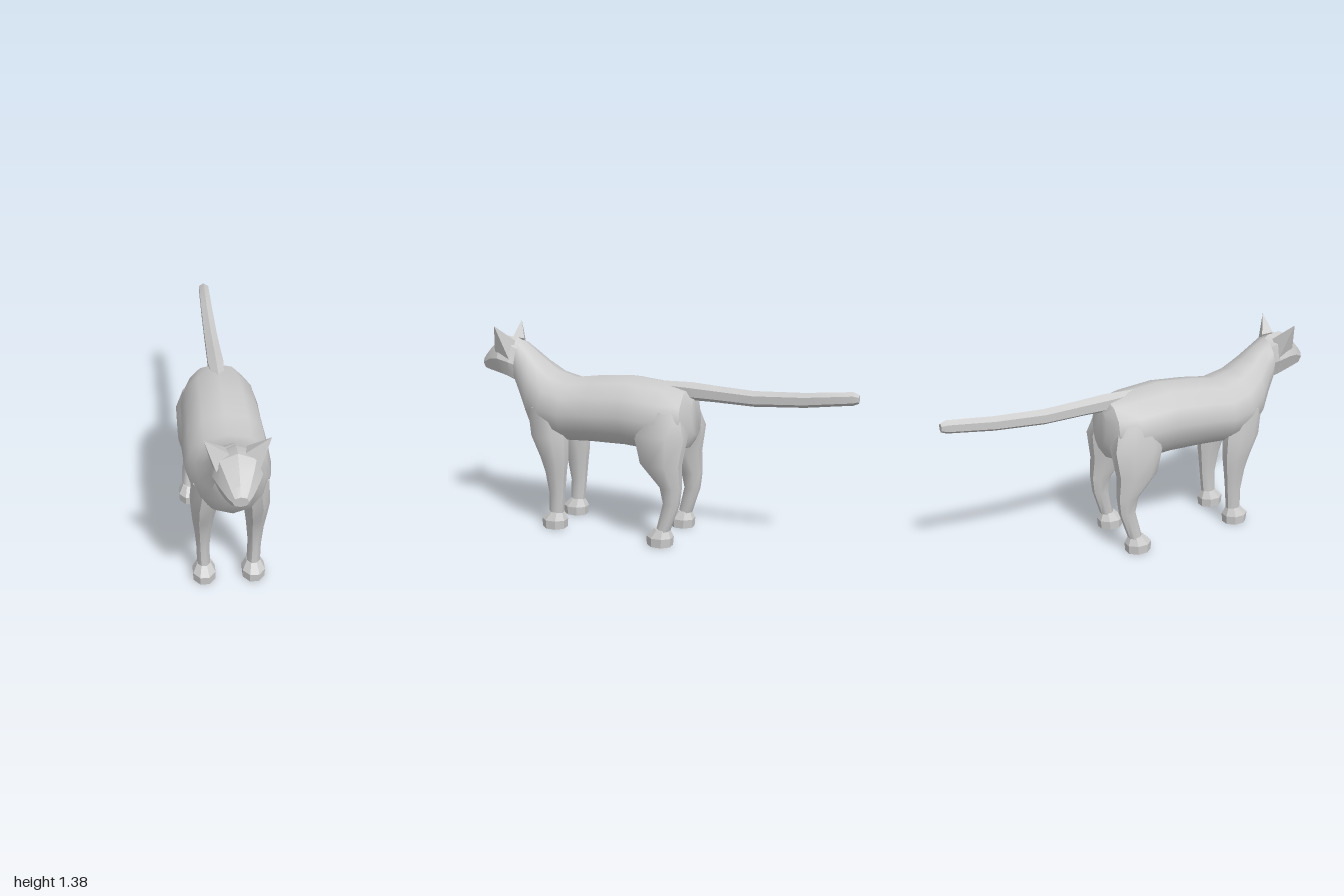
import * as THREE from 'three';
import { toCreasedNormals } from 'three/addons/utils/BufferGeometryUtils.js';
import { ConvexGeometry } from 'three/addons/geometries/ConvexGeometry.js';

const material = new THREE.MeshStandardMaterial({ color: 0xcccccc });

// Skin a closed surface over rings of points, with a fan cap at each end
function loft(name, rings, crease) {
  const n = rings[0].length, points = rings.flat(), index = [];
  for (let r = 0; r < rings.length - 1; r++) {
    for (let i = 0; i < n; i++) {
      const a = r * n + i, b = r * n + (i + 1) % n;
      index.push(a, b, b + n, a, b + n, a + n);
    }
  }
  const last = (rings.length - 1) * n;
  for (let i = 1; i < n - 1; i++) {
    index.push(0, i + 1, i, last, last + i, last + i + 1);
  }
  const geometry = new THREE.BufferGeometry().setFromPoints(points);
  geometry.setIndex(index);
  const mesh = new THREE.Mesh(toCreasedNormals(geometry, crease), material);
  mesh.name = name;
  return mesh;
}

// Upright ring from a top point, a bottom point and a half width
function spineRing([topZ, topY, botZ, botY, half], sides) {
  return Array.from({ length: sides }, (_, i) => {
    const a = (i / sides) * Math.PI * 2, c = Math.cos(a), s = Math.sin(a);
    return new THREE.Vector3(
      -half * Math.sign(s) * Math.abs(s) ** 0.9,
      (topY + botY) / 2 + c * (topY - botY) / 2,
      (topZ + botZ) / 2 + c * (topZ - botZ) / 2);
  });
}

// Level ring: height, forward position, sideways position and two radii
function limbRing([y, z, x, rz, rx], side, sides = 8) {
  return Array.from({ length: sides }, (_, i) => {
    const a = ((i + 0.5) / sides) * Math.PI * 2;
    return new THREE.Vector3(side * x + 1.04 * rx * Math.sin(a), y, z + 1.04 * rz * Math.cos(a));
  });
}

// Each row: top z, top y, bottom z, bottom y, half width
const bodyRows = [
  [-0.27, 0.97, -0.29, 0.72, 0.09],
  [-0.23, 1.03, -0.24, 0.63, 0.20],
  [-0.08, 1.06, -0.10, 0.59, 0.25],
  [0.17, 1.085, 0.17, 0.61, 0.255],
  [0.42, 1.065, 0.42, 0.61, 0.265],
  [0.60, 1.04, 0.62, 0.60, 0.265],
  [0.74, 1.08, 0.80, 0.62, 0.24],
  [0.85, 1.155, 0.92, 0.70, 0.195],
  [0.93, 1.22, 0.98, 0.83, 0.15],
  [1.00, 1.27, 1.03, 0.95, 0.125],
];
const headRows = [
  [0.99, 1.255, 1.01, 0.96, 0.11],
  [1.04, 1.285, 1.06, 0.98, 0.14],
  [1.13, 1.295, 1.14, 1.01, 0.14],
  [1.20, 1.255, 1.22, 1.03, 0.11],
  [1.27, 1.18, 1.28, 1.045, 0.07],
  [1.305, 1.135, 1.30, 1.065, 0.045],
];
const tailRows = [
  [-1.335, 1.075, -1.335, 1.02, 0.025],
  [-1.30, 1.09, -1.30, 1.005, 0.04],
  [-1.00, 1.06, -1.00, 0.965, 0.045],
  [-0.67, 1.045, -0.67, 0.943, 0.05],
  [-0.40, 1.06, -0.40, 0.95, 0.055],
  [-0.25, 1.07, -0.22, 0.95, 0.06],
  [-0.02, 1.065, -0.05, 0.98, 0.04],
];

// Each row, from the ankle up: y, z, x, z radius, x radius
const backLegRows = [
  [0.09, -0.13, 0.205, 0.045, 0.045],
  [0.29, -0.187, 0.195, 0.055, 0.045],
  [0.40, -0.182, 0.195, 0.073, 0.055],
  [0.55, -0.11, 0.19, 0.14, 0.085],
  [0.74, -0.10, 0.17, 0.18, 0.112],
  [0.90, -0.09, 0.13, 0.14, 0.10],
];
const frontLegRows = [
  [0.09, 0.685, 0.16, 0.05, 0.043],
  [0.25, 0.675, 0.165, 0.055, 0.042],
  [0.40, 0.68, 0.165, 0.075, 0.055],
  [0.50, 0.69, 0.165, 0.097, 0.068],
  [0.65, 0.725, 0.16, 0.13, 0.085],
  [0.85, 0.76, 0.13, 0.13, 0.10],
];

// Blocky paw
function paw(name, x, z, side) {
  const rows = [
    [0, z, x, 0.085, 0.073],
    [0.06, z, x, 0.09, 0.075],
    [0.115, z - 0.015, x, 0.05, 0.045],
  ];
  return loft(name, rows.map(r => limbRing(r, side)), 0.3);
}

// Pointed ear
function ear(name, side) {
  const corners = [
    [0.045, 1.28, 1.11], [0.12, 1.20, 1.16], [0.13, 1.14, 1.04],
    [0.06, 1.27, 1.03], [0.183, 1.383, 1.118],
  ];
  const geometry = new ConvexGeometry(corners.map(([x, y, z]) => new THREE.Vector3(side * x, y, z)));
  const mesh = new THREE.Mesh(geometry, material);
  mesh.name = name;
  return mesh;
}

export function createModel() {
  const model = new THREE.Group();
  model.name = 'cat';
  const cat = new THREE.Group();
  cat.name = 'catFigure';
  model.add(cat);

  cat.add(
    loft('body', bodyRows.map(r => spineRing(r, 12)), 0.75),
    loft('head', headRows.map(r => spineRing(r, 8)), 0.45),
    loft('tail', tailRows.map(r => spineRing(r, 6)), 0.6));

  // Paired parts
  for (const [label, side] of [['left', 1], ['right', -1]]) {
    cat.add(
      ear(label + 'Ear', side),
      loft(label + 'FrontLeg', frontLegRows.map(r => limbRing(r, side)), 0.85),
      loft(label + 'BackLeg', backLegRows.map(r => limbRing(r, side)), 0.85),
      paw(label + 'FrontPaw', 0.16, 0.70, side),
      paw(label + 'BackPaw', 0.203, -0.11, side));
  }

  // The animal stands diagonally, facing forward and to its left
  cat.rotation.y = 0.844;
  return model;
}
